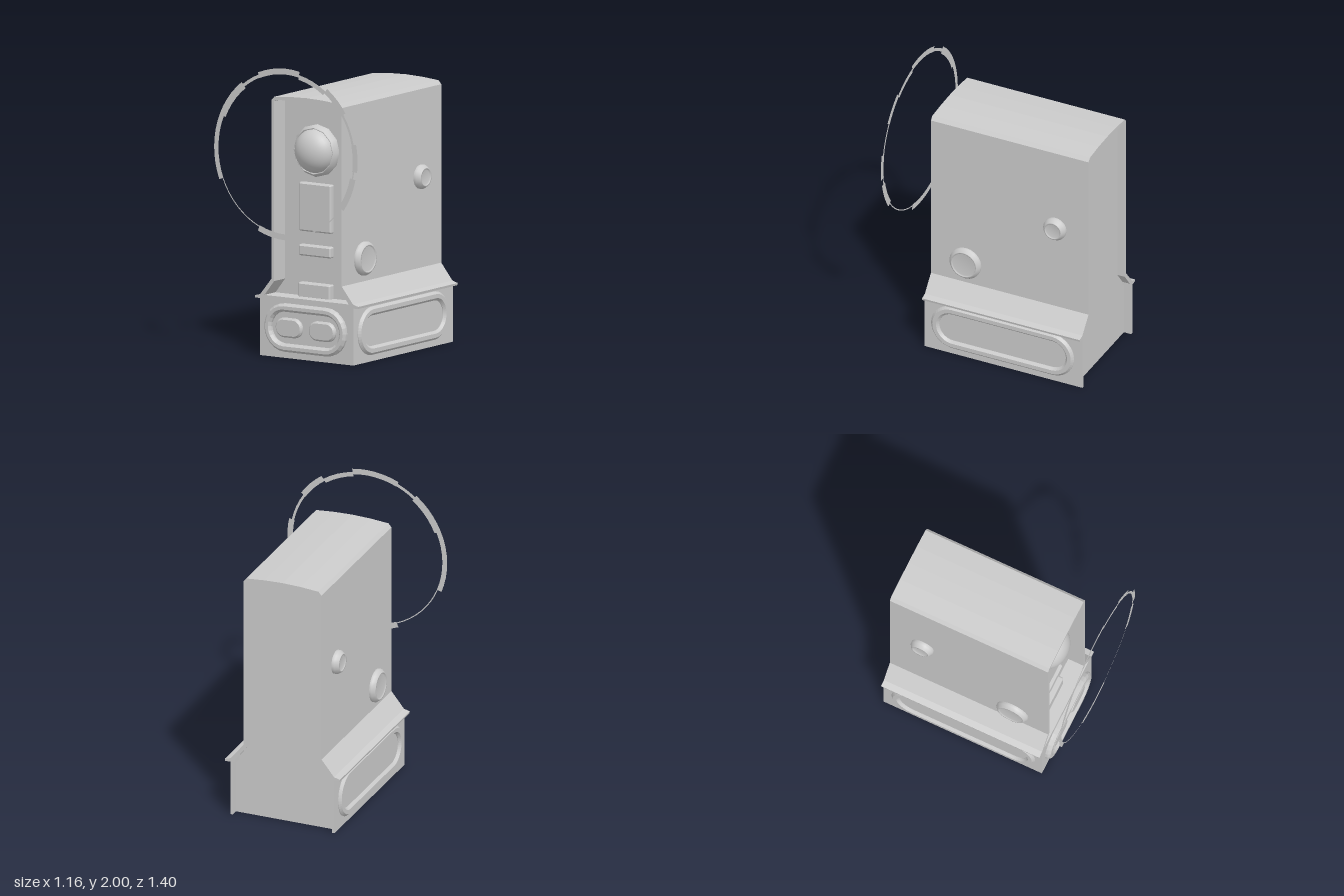
import * as THREE from 'three';

const grey = new THREE.MeshStandardMaterial({ color: 0xcccccc, side: THREE.DoubleSide });
const FRONT = 0.47, BACK = -0.7, PANEL = 0.34, BASE_W = 0.378, BASE_H = 0.4;

function add(parent, name, geometry, x = 0, y = 0, z = 0) {
  const mesh = new THREE.Mesh(geometry, grey);
  mesh.name = name;
  mesh.position.set(x, y, z);
  parent.add(mesh);
  return mesh;
}

// Closed shape from the right half of a symmetric outline
function mirrored(half) {
  const left = half.filter(([x]) => x > 0).map(([x, y]) => [-x, y]).reverse();
  return [...half, ...left].map(([x, y]) => new THREE.Vector2(x, y));
}

function pill(PathType, hw, hh, r = hh) {
  const p = new PathType();
  p.absarc(hw - r, hh - r, r, 0, Math.PI / 2);
  p.absarc(r - hw, hh - r, r, Math.PI / 2, Math.PI);
  p.absarc(r - hw, r - hh, r, Math.PI, Math.PI * 1.5);
  p.absarc(hw - r, r - hh, r, Math.PI * 1.5, Math.PI * 2);
  p.closePath();
  return p;
}

// Raised shape with a chamfered front edge, standing on z = 0
function raised(shape, height, bevel, curveSegments = 4) {
  return new THREE.ExtrudeGeometry(shape, {
    depth: height - bevel, bevelThickness: bevel, bevelSize: bevel,
    bevelOffset: -bevel, bevelSegments: 1, curveSegments,
  });
}

function pillFrame(hw, hh, band, height, segments) {
  const shape = pill(THREE.Shape, hw, hh);
  shape.holes.push(pill(THREE.Path, hw - band, hh - band));
  return raised(shape, height, 0.016, segments);
}

// Round collar with a sunken cap, axis along +y
function collar(r, height, lip, segments) {
  return new THREE.LatheGeometry([
    [r, 0], [r, height * 0.45], [r - 0.018, height], [r - lip, height],
    [r - lip - 0.004, height - 0.01], [0, height - 0.01],
  ].map(([a, b]) => new THREE.Vector2(a, b)), segments);
}

function buildBody(body) {
  // Side and roof shell, open at the ends and below
  const outer = [[0.415, 0.385], [0.418, 0.4], [0.375, 0.412], [0.284, 0.525],
    [0.284, 1.73], [0.262, 1.755], [0.13, 1.766], [0, 1.77]];
  const inner = [[0.34, 0.385], [0.34, 0.41], [0.262, 0.51], [0.262, 1.725], [0.24, 1.735], [0, 1.748]];
  const left = mirrored(outer).slice(outer.length);
  const shell = new THREE.Shape([
    ...outer.map((p) => new THREE.Vector2(...p)), ...left,
    ...mirrored(inner).reverse(),
  ]);
  add(body, 'shell', new THREE.ExtrudeGeometry(shell, { depth: FRONT - BACK, bevelEnabled: false }), 0, 0, BACK);

  // Recessed front and back panels
  const panel = (half) => new THREE.ExtrudeGeometry(new THREE.Shape(mirrored(half)), { depth: 0.015, bevelEnabled: false });
  add(body, 'frontPanel', panel(inner), 0, 0, PANEL - 0.015);
  add(body, 'backPanel', panel([[0.36, 0], [0.36, 0.39], ...inner.slice(1)]), 0, 0, -0.645);

  // Raised plates on the front panel
  for (const [name, y0, y1, h] of [['tallPlate', 0.85, 1.18, 0.035], ['smallBar', 0.685, 0.76, 0.04], ['lowerPlate', 0.4, 0.505, 0.045]]) {
    add(body, name, raised(pill(THREE.Shape, 0.13, (y1 - y0) / 2, 0.012), h, 0.01), 0, (y0 + y1) / 2, PANEL);
  }

  // Lens and its rim
  add(body, 'lensRim', collar(0.177, 0.05, 0.024, 12), 0, 1.4, PANEL).rotation.x = Math.PI / 2;
  const dome = add(body, 'lens', new THREE.SphereGeometry(0.15, 32, 12, 0, Math.PI * 2, 0, Math.PI / 2), 0, 1.4, PANEL + 0.025);
  dome.rotation.x = Math.PI / 2;
  dome.scale.y = 0.75;

  // Round ports on both sides
  for (const side of [-1, 1]) {
    for (const [name, r, y, z, h] of [['upperPort', 0.082, 1.14, -0.455, 0.048], ['lowerPort', 0.115, 0.68, 0.21, 0.04]]) {
      add(body, name, collar(r, h, 0.027, 20), side * 0.283, y, z).rotation.z = -side * Math.PI / 2;
    }
  }
}

function buildBase(base) {
  // Hollow base: front wall, ledge and two side walls
  add(base, 'baseFront', new THREE.BoxGeometry(BASE_W * 2, BASE_H, 0.015), 0, BASE_H / 2, FRONT - 0.0075);
  add(base, 'baseLedge', new THREE.BoxGeometry(0.7, 0.015, FRONT - PANEL), 0, 0.402, (FRONT + PANEL) / 2);
  for (const side of [-1, 1]) {
    add(base, 'baseSide', new THREE.BoxGeometry(0.018, BASE_H, FRONT - BACK), side * (BASE_W - 0.009), BASE_H / 2, (FRONT + BACK) / 2);
    add(base, 'sideFrame', pillFrame(0.53, 0.163, 0.06, 0.02, 6), side * BASE_W, 0.207, -0.11).rotation.y = side * Math.PI / 2;
    add(base, 'frontLamp', raised(pill(THREE.Shape, 0.107, 0.066), 0.025, 0.012), side * 0.134, 0.207, FRONT);
  }
  add(base, 'frontFrame', pillFrame(0.33, 0.163, 0.055, 0.033, 3), 0, 0.207, FRONT);
}

function buildHalo(halo) {
  // Flat ring in stepped bands: start and end angle, inner and outer radius
  const bands = [
    [-36, -12, 0.53, 0.575], [-12, -7, 0.545, 0.555], [-7, 12, 0.54, 0.58], [12, 34, 0.543, 0.56],
    [34, 55, 0.54, 0.58], [55, 79, 0.525, 0.557], [79, 113, 0.54, 0.58], [113, 128, 0.543, 0.565],
    [128, 157, 0.53, 0.58], [157, 202, 0.545, 0.58], [202, 247, 0.545, 0.552], [247, 281, 0.54, 0.58],
    [281, 324, 0.545, 0.553],
  ];
  for (const [a, b, r0, r1] of bands) {
    const start = THREE.MathUtils.degToRad(a), sweep = THREE.MathUtils.degToRad(b - a);
    add(halo, 'haloBand', new THREE.RingGeometry(r0, r1, Math.ceil((b - a) / 6), 1, start, sweep));
  }
}

export function createModel() {
  const model = new THREE.Group();
  model.name = 'model';
  const part = (name, build, x, y, z) => {
    const g = new THREE.Group();
    g.name = name;
    g.position.set(x, y, z);
    build(g);
    model.add(g);
  };
  part('body', buildBody, 0.006, 0, 0);
  part('base', buildBase, 0.006, 0, 0);
  part('halo', buildHalo, -0.003, 1.42, 0.7);
  return model;
}
